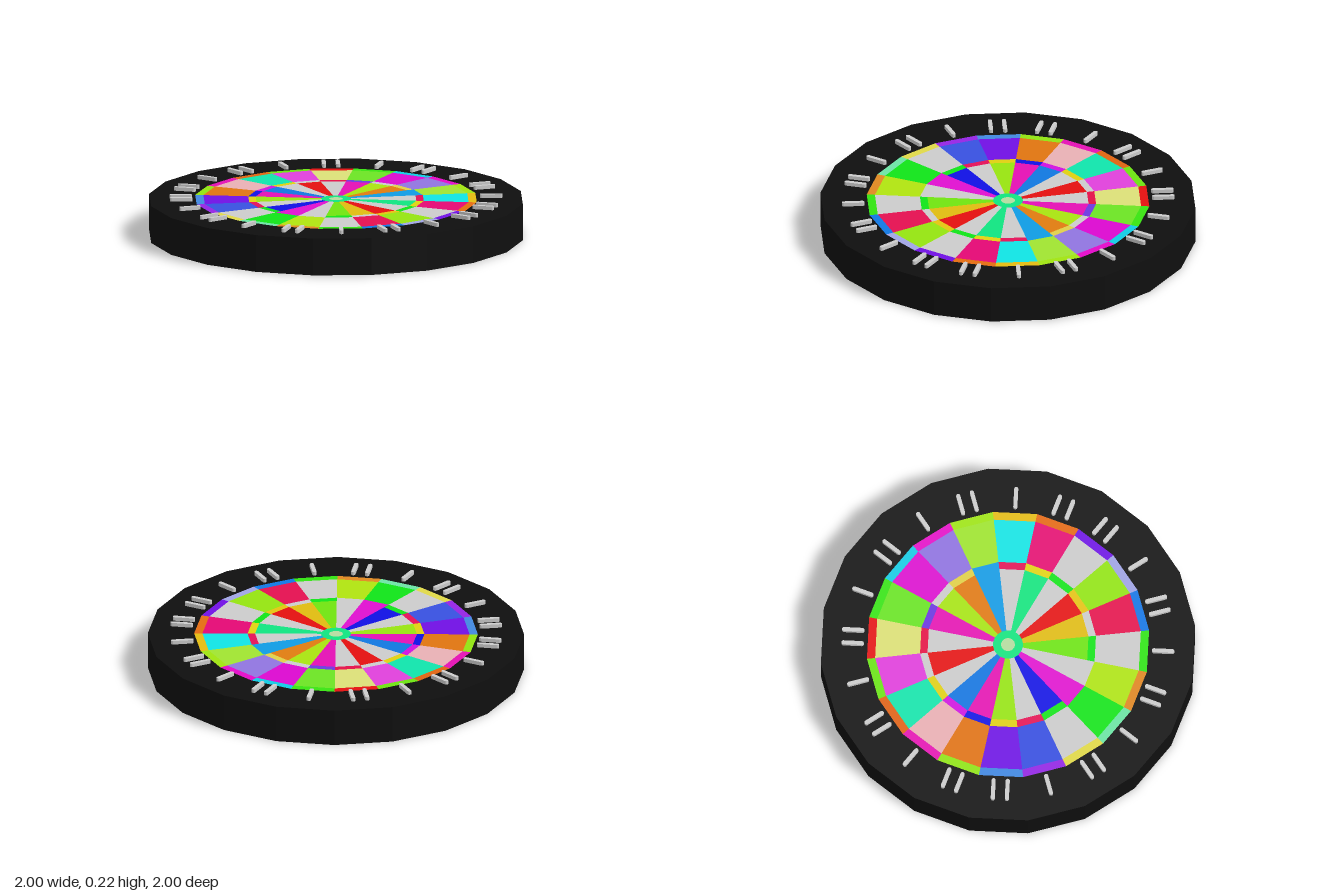
import * as THREE from 'three';

const TOP = 0.2;
const SIDES = 20;
const STEP = (Math.PI * 2) / SIDES;
const G = 0xcccccc;

// Colours of each ring, clockwise from the back when seen from above
const rings = [
  { name: 'innerField', r0: 0.08, r1: 0.43, colors: [
    0xe410b4, 0xa8e410, 0xe07c10, 0x109ce4, G, 0x10e480, G, 0xe41010, 0xe0bc10, 0x70e410,
    G, 0xe010d0, 0x1010e4, G, 0x98e410, 0xe410b4, 0x1078e0, G, 0xe41010, G] },
  { name: 'innerBand', r0: 0.43, r1: 0.47, colors: [
    0x6c38e0, G, 0xe0d048, 0x109ce4, 0xe41058, 0xe0d410, 0x10e418, 0xe4c410, G, 0x10e418,
    G, 0xe010d0, 0x10e418, 0xe41058, 0xe0d010, 0x1010e4, 0xd010e0, 0xe0d010, G, 0xe41048] },
  { name: 'outerField', r0: 0.47, r1: 0.71, colors: [
    0x6ce424, 0xdc08d0, 0x9074e0, 0xa0e430, 0x10e4e4, 0xe40874, G, 0x94e410, 0xe41050, G,
    0xb0e410, 0x10e418, G, 0x3850e0, 0x7010e4, 0xe07410, 0xe8b0b4, 0x10e4ac, 0xe040dc, 0xdce078] },
  { name: 'outerBand', r0: 0.71, r1: 0.754, colors: [
    0x38e410, 0x10cce4, 0xe408c8, 0xa0e410, 0xe4bc10, 0xe46c10, 0x7010e4, 0xa0a4e4, 0x1078e4, 0x30e410,
    0xe08820, 0x6ce4a4, 0xe0d848, 0x9424e4, 0x4088e0, 0x90e410, 0xe410b4, 0xe06410, 0x6ce410, 0xe41010] },
];

// Number of raised marks on the rim beside each wedge
const markCounts = [1, 2, 1, 2, 1, 2, 2, 1, 2, 1, 2, 1, 2, 1, 2, 2, 1, 2, 1, 2];

function mat(color, side = THREE.FrontSide) {
  return new THREE.MeshStandardMaterial({ color, flatShading: true, side });
}

function flatMesh(shape, color, name) {
  const geometry = new THREE.ShapeGeometry(shape, 8).rotateX(-Math.PI / 2);
  const mesh = new THREE.Mesh(geometry, mat(color, THREE.DoubleSide));
  mesh.position.y = TOP;
  mesh.name = name;
  return mesh;
}

// Point on the face: angle is clockwise from the back, shape y points to -z
function polar(r, a) {
  return new THREE.Vector2(r * Math.sin(a), r * Math.cos(a));
}

// Straight-edged slice of a ring
function wedge(r0, r1, i) {
  const a = i * STEP, b = a + STEP;
  return new THREE.Shape([polar(r0, a), polar(r0, b), polar(r1, b), polar(r1, a)]);
}

// Thin upright bar with rounded ends
function barGeometry(width, length, depth) {
  const r = width / 2, h = length / 2 - r;
  const shape = new THREE.Shape();
  shape.absarc(0, h, r, 0, Math.PI);
  shape.absarc(0, -h, r, Math.PI, Math.PI * 2);
  return new THREE.ExtrudeGeometry(shape, { depth, bevelEnabled: false, curveSegments: 6 })
    .rotateX(-Math.PI / 2);
}

export function createModel() {
  const model = new THREE.Group();
  model.name = 'targetBoard';

  // Faceted body: underside, wall and rim; the coloured fields close the middle
  const profile = [[0, 0], [1, 0], [1, TOP], [0.754, TOP]].map(([x, y]) => new THREE.Vector2(x, y));
  const body = new THREE.Mesh(new THREE.LatheGeometry(profile, SIDES), mat(0x0f0f0f));
  body.name = 'boardBody';
  model.add(body);

  // Coloured scoring fields
  for (const { name, r0, r1, colors } of rings) {
    const group = new THREE.Group();
    group.name = name;
    colors.forEach((color, i) => group.add(flatMesh(wedge(r0, r1, i), color, name + 'Wedge')));
    model.add(group);
  }

  // Centre ring and centre spot
  const outline = (r) => Array.from({ length: SIDES }, (_, i) => polar(r, i * STEP));
  const centreRing = new THREE.Shape(outline(0.08));
  centreRing.holes.push(new THREE.Path(outline(0.037)));
  model.add(flatMesh(centreRing, 0x10e480, 'centreRing'));
  model.add(flatMesh(new THREE.Shape(outline(0.037)), 0xb4dca0, 'centreSpot'));

  // Plain raised marks around the rim, one or two per wedge
  const bar = barGeometry(0.022, 0.12, 0.02);
  const barMaterial = mat(G);
  markCounts.forEach((count, i) => {
    const marks = new THREE.Group();
    marks.name = 'rimMarks';
    for (let k = 0; k < count; k++) {
      const mark = new THREE.Mesh(bar, barMaterial);
      mark.name = 'rimMark';
      mark.position.set((k - (count - 1) / 2) * 0.075, TOP, -0.825);
      marks.add(mark);
    }
    marks.rotation.y = -(i + 0.5) * STEP;
    model.add(marks);
  });

  return model;
}
